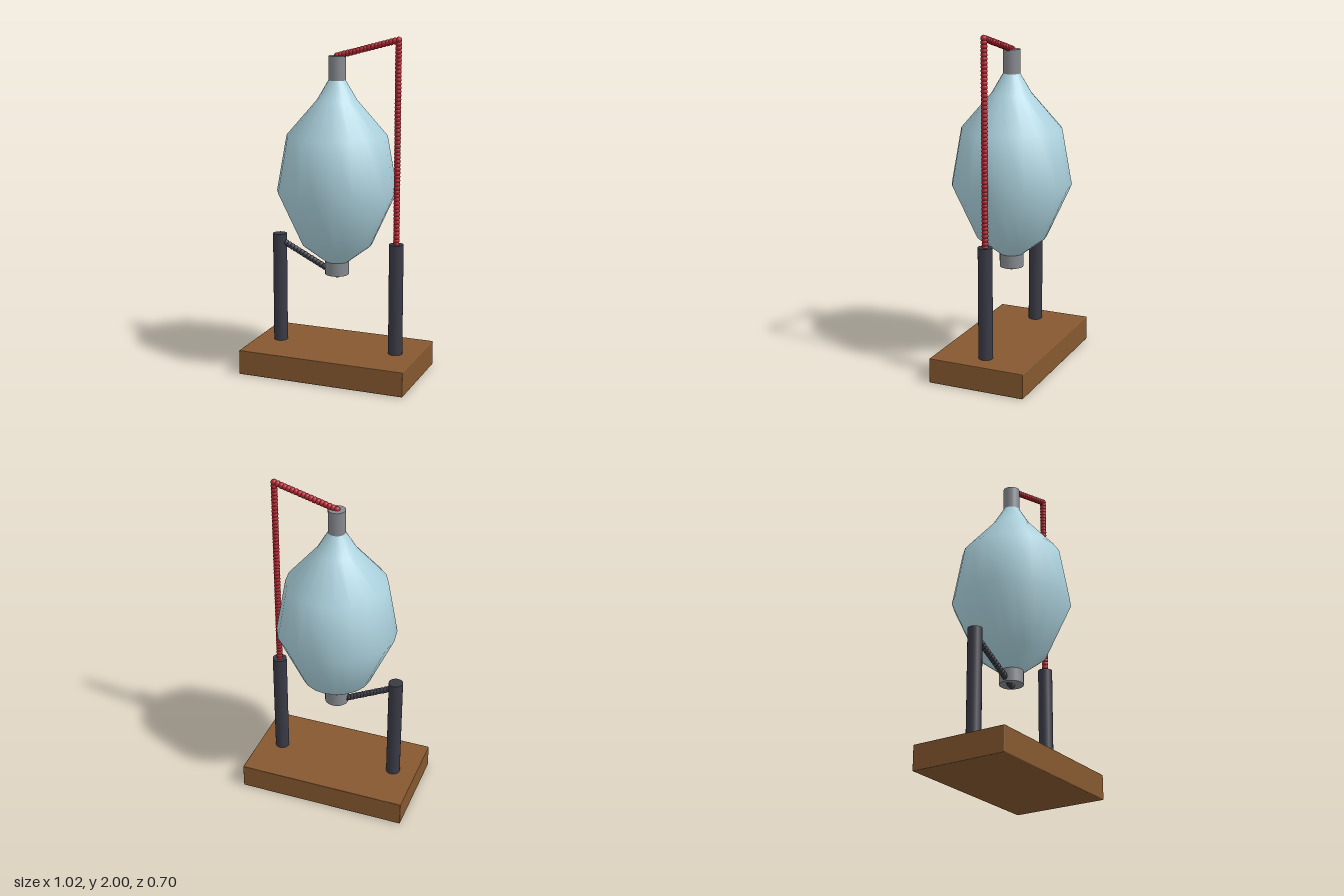
import * as THREE from 'three';
import { mergeGeometries } from 'three/addons/utils/BufferGeometryUtils.js';
import { RoundedBoxGeometry } from 'three/addons/geometries/RoundedBoxGeometry.js';

const material = (name, color, extra = {}) => {
  const m = new THREE.MeshStandardMaterial({ color, ...extra });
  m.name = name;
  return m;
};

export function createModel() {
  const wood = material('brown wood', 0x85582f);
  const dark = material('dark post', 0x3a3a46);
  const grey = material('grey metal', 0x85898e);
  const red = material('red wire', 0xb02430);
  const glass = material('pale blue glass', 0xadd3df, { side: THREE.DoubleSide });

  const model = new THREE.Group();
  const add = (name, geometry, mat, x = 0, y = 0, z = 0) => {
    const mesh = new THREE.Mesh(geometry, mat);
    mesh.name = name;
    mesh.position.set(x, y, z);
    model.add(mesh);
    return mesh;
  };

  // Upright cylinder from y0 to y1
  const post = (name, mat, radius, x, y0, y1) =>
    add(name, new THREE.CylinderGeometry(radius, radius, y1 - y0, 20), mat, x, (y0 + y1) / 2);

  // Wire made of overlapping beads along straight runs
  const beadWire = (name, mat, radius, points) => {
    const beads = [];
    for (let i = 0; i < points.length - 1; i++) {
      const a = new THREE.Vector3(...points[i], 0);
      const b = new THREE.Vector3(...points[i + 1], 0);
      const count = Math.round(a.distanceTo(b) / 0.0222);
      for (let k = i ? 1 : 0; k <= count; k++) {
        const p = a.clone().lerp(b, k / count);
        beads.push(new THREE.SphereGeometry(radius, 12, 8).translate(p.x, p.y, p.z));
      }
    }
    return add(name, mergeGeometries(beads), mat);
  };

  // Base and the two posts
  add('base', new RoundedBoxGeometry(1.02, 0.148, 0.585, 1, 0.005), wood, 0, 0.074);
  post('leftPost', dark, 0.042, 0.367, 0.14, 0.81);
  post('rightPost', dark, 0.042, -0.367, 0.14, 0.81);

  // Faceted-profile glass bulb
  const profile = [
    [0.055, 0.665], [0.205, 0.78], [0.35, 1.1], [0.292, 1.425], [0.115, 1.63], [0.048, 1.745],
  ].map(([r, y]) => new THREE.Vector2(r, y));
  add('bulb', new THREE.LatheGeometry(profile, 20), glass);

  // Metal caps
  post('topCap', grey, 0.05, 0, 1.735, 1.88);
  post('bottomCap', grey, 0.071, 0, 0.597, 0.677);

  // Wires from the posts to the caps
  beadWire('topWire', red, 0.019, [[0, 1.88], [0.367, 1.98], [0.367, 0.81]]);
  beadWire('bottomWire', dark, 0.019, [[-0.367, 0.775], [0, 0.592]]);

  return model;
}
